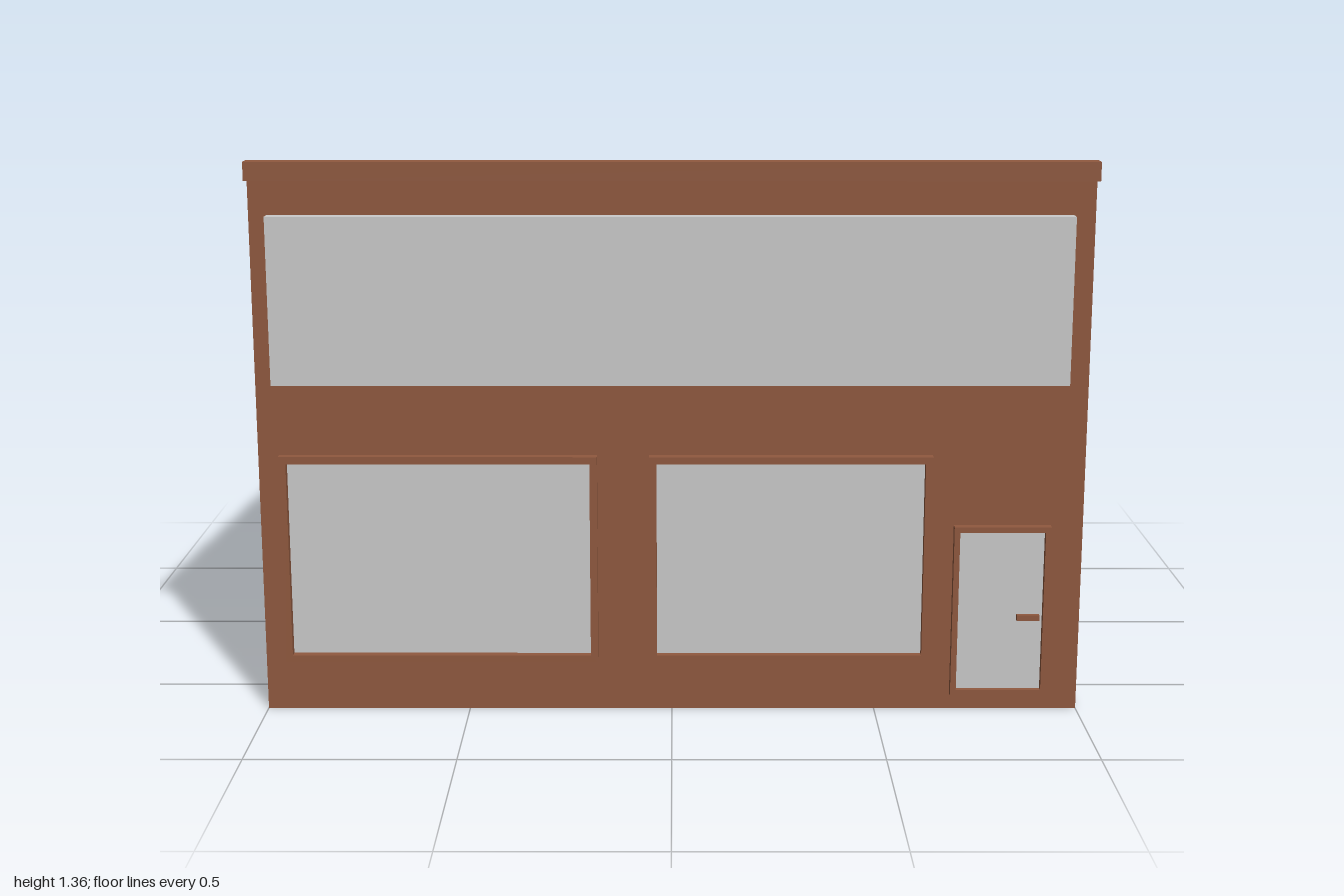
import * as THREE from 'three';

const brick = new THREE.MeshStandardMaterial({ color: 0x90593f, flatShading: true });
const grey = new THREE.MeshStandardMaterial({ color: 0xcccccc, flatShading: true });
const WALL = 0.667; // z of the front wall

function add(parent, name, geometry, material) {
  const mesh = new THREE.Mesh(geometry, material);
  mesh.name = name;
  parent.add(mesh);
  return mesh;
}

// Box given by its limits on each axis
function box(parent, name, [x0, x1], [y0, y1], [z0, z1], material) {
  const mesh = add(parent, name, new THREE.BoxGeometry(x1 - x0, y1 - y0, z1 - z0), material);
  mesh.position.set((x0 + x1) / 2, (y0 + y1) / 2, (z0 + z1) / 2);
  return mesh;
}

function rect(path, x0, x1, y0, y1) {
  path.moveTo(x0, y0);
  path.lineTo(x1, y0);
  path.lineTo(x1, y1);
  path.lineTo(x0, y1);
  path.closePath();
  return path;
}

// Raised frame around a pane that lies close to the wall
function framedPane(name, [x0, x1], [y0, y1], border, front) {
  const group = new THREE.Group();
  group.name = name;
  const shape = rect(new THREE.Shape(), x0, x1, y0, y1);
  shape.holes.push(rect(new THREE.Path(), x0 + border, x1 - border, y0 + border, y1 - border));
  const frame = new THREE.ExtrudeGeometry(shape, { depth: front - WALL, bevelEnabled: false });
  add(group, name + 'Frame', frame, brick).position.z = WALL;
  box(group, name + 'Pane', [x0 + border, x1 - border], [y0 + border, y1 - border],
    [WALL, WALL + 0.003], grey);
  return group;
}

export function createModel() {
  const model = new THREE.Group();
  model.name = 'shop';

  // Building body with sloping roof and front cornice, drawn as a side profile (z, y)
  const profile = new THREE.Shape([
    [-0.708, 0], [WALL, 0], [WALL, 1.315], [0.71, 1.315],
    [0.71, 1.36], [WALL, 1.36], [-0.708, 1.067],
  ].map(([z, y]) => new THREE.Vector2(z, y)));
  const body = new THREE.ExtrudeGeometry(profile, { depth: 2, bevelEnabled: false });
  body.rotateY(-Math.PI / 2).translate(1, 0, 0);
  add(model, 'building', body, brick);

  // Blank sign board above the windows
  box(model, 'signBoard', [-0.957, 0.949], [0.825, 1.23], [WALL, 0.7], grey);

  // Shop windows
  model.add(framedPane('rightWindow', [-0.949, -0.181], [0.127, 0.647], 0.018, 0.69));
  model.add(framedPane('leftWindow', [-0.055, 0.63], [0.127, 0.647], 0.018, 0.69));

  // Door with its handle
  const door = framedPane('door', [0.686, 0.922], [0.04, 0.471], 0.014, 0.686);
  box(door, 'doorHandle', [0.845, 0.9], [0.232, 0.246], [WALL, 0.684], brick);
  model.add(door);

  return model;
}
